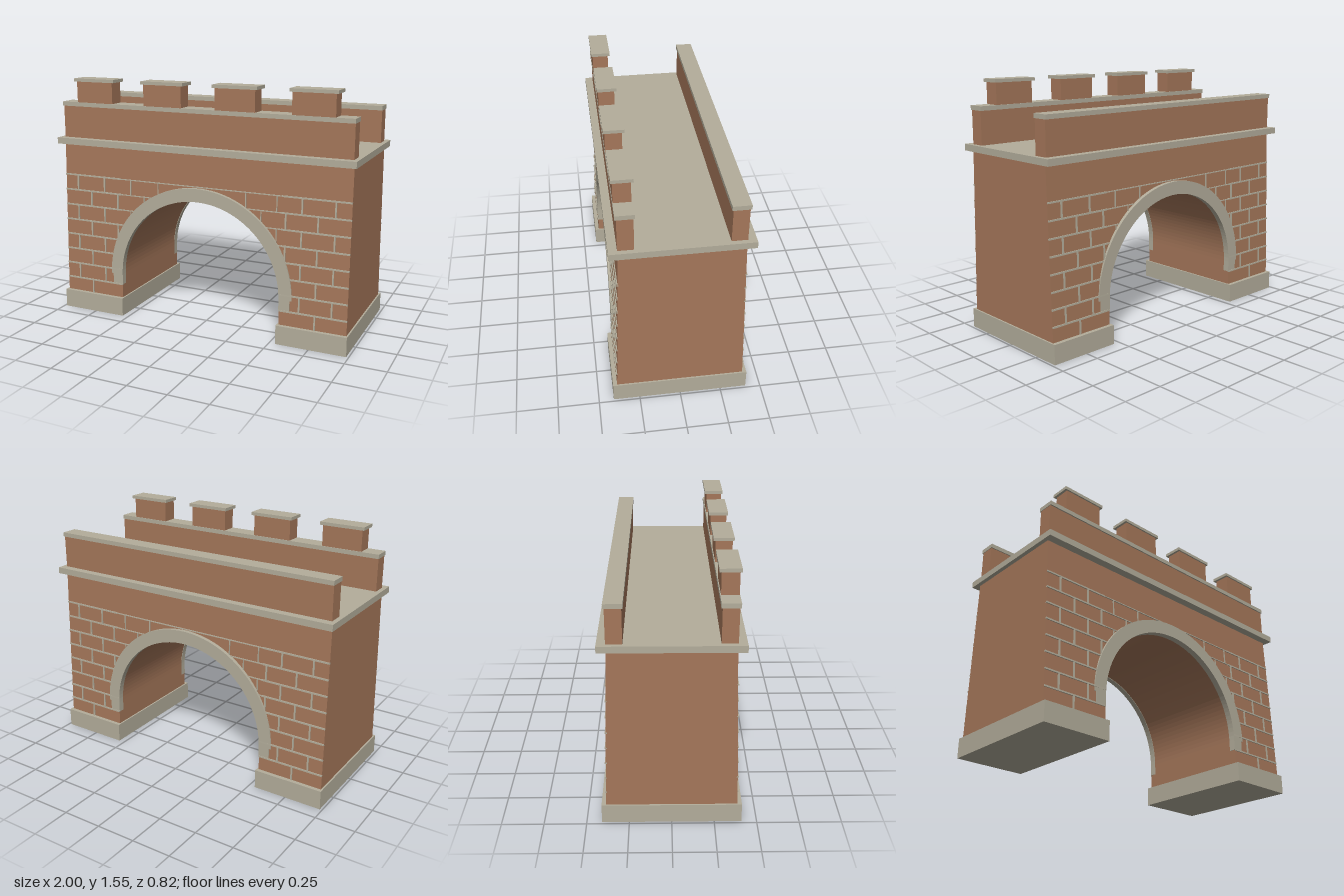
import * as THREE from 'three';

const brick = new THREE.MeshStandardMaterial({ color: 0xa5775a });
brick.name = 'brick';
const stone = new THREE.MeshStandardMaterial({ color: 0xb3ad9b });
stone.name = 'stone';

const R = 0.55, RING = 0.63, SPRING = 0.28; // arch radii and springing height
const SLOPE = 0.034;                        // inward lean of both faces
const faceZ = (y) => 0.385 - SLOPE * (y - 0.12);

function add(parent, name, geometry, material) {
  const mesh = new THREE.Mesh(geometry, material);
  mesh.name = name;
  parent.add(mesh);
  return mesh;
}

// Box given by its limits on each axis
function block(parent, name, material, x0, x1, y0, y1, z0, z1) {
  const mesh = add(parent, name, new THREE.BoxGeometry(x1 - x0, y1 - y0, z1 - z0), material);
  mesh.position.set((x0 + x1) / 2, (y0 + y1) / 2, (z0 + z1) / 2);
  return mesh;
}

// Wall with an arched opening, leaning in towards the top
function archWall() {
  const s = new THREE.Shape();
  s.moveTo(-0.975, 0.12);
  s.lineTo(-R, 0.12);
  s.lineTo(-R, SPRING);
  s.absarc(0, SPRING, R, Math.PI, 0, true);
  s.lineTo(R, 0.12);
  s.lineTo(0.975, 0.12);
  s.lineTo(0.975, 1.125);
  s.lineTo(-0.975, 1.125);
  s.closePath();
  const g = new THREE.ExtrudeGeometry(s, { depth: 1, bevelEnabled: false, curveSegments: 32 });
  const p = g.attributes.position;
  for (let i = 0; i < p.count; i++) p.setZ(i, (p.getZ(i) > 0.5 ? 1 : -1) * faceZ(p.getY(i)));
  g.computeVertexNormals();
  return g;
}

// Stone ring around the opening
function archRing() {
  const r = R - 0.003;
  const s = new THREE.Shape();
  s.moveTo(RING, SPRING);
  s.absarc(0, SPRING, RING, 0, Math.PI, false);
  s.lineTo(-r, SPRING);
  s.absarc(0, SPRING, r, Math.PI, 0, true);
  s.closePath();
  return new THREE.ExtrudeGeometry(s, { depth: 0.04, bevelEnabled: false, curveSegments: 32 });
}

// Raised mortar strip following the leaning face
function mortar(parent, x, y, w, h) {
  const m = add(parent, 'mortarJoint', new THREE.BoxGeometry(w, h, 0.012), stone);
  m.position.set(x, y, faceZ(y));
  m.rotation.x = -SLOPE;
}

// Arch ring and brick joints of one face
function createFace() {
  const face = new THREE.Group();
  add(face, 'archRing', archRing(), stone).position.z = 0.344;
  for (const s of [-1, 1]) {
    const a = s * (R - 0.003), b = s * 0.617;
    block(face, 'archRingFoot', stone, Math.min(a, b), Math.max(a, b), 0.21, SPRING, 0.344, 0.384);
  }
  for (let row = 0; row < 8; row++) {
    const top = 0.21 + row * 0.101, mid = top - 0.05;
    const odd = row % 2;
    // Piers
    for (const s of [-1, 1]) {
      mortar(face, s * 0.7625, top, 0.425, 0.01);
      for (const x of odd ? [0.88, 0.677] : [0.777, 0.577]) {
        const hidden = x < RING && Math.hypot(x, mid - SPRING) < RING;
        if (!hidden && !(x < 0.6 && mid < SPRING)) mortar(face, s * x, mid, 0.01, 0.101);
      }
    }
    // Spandrels above the ring
    if (row > 3) {
      const reach = Math.sqrt(Math.max(0, 0.6 ** 2 - (top - SPRING) ** 2));
      if (reach < R) {
        const w = R - reach;
        for (const s of [-1, 1]) mortar(face, s * (reach + w / 2), top, w, 0.006);
      }
      for (let x = odd ? -0.48 : -0.38; x < R; x += 0.2) {
        if (Math.hypot(x, mid - SPRING) > 0.6) mortar(face, x, mid, 0.006, 0.101);
      }
    }
  }
  return face;
}

export function createModel() {
  const model = new THREE.Group();
  model.name = 'archedGate';

  add(model, 'archWall', archWall(), brick);
  block(model, 'leftFooting', stone, 0.54, 0.985, 0, 0.12, -0.41, 0.41);
  block(model, 'rightFooting', stone, -0.985, -0.54, 0, 0.12, -0.41, 0.41);

  const front = createFace();
  front.name = 'frontStonework';
  const back = createFace();
  back.name = 'backStonework';
  back.rotation.y = Math.PI;
  model.add(front, back);

  // Deck and parapets
  block(model, 'deckSlab', stone, -1, 1, 1.125, 1.165, -0.403, 0.403);
  block(model, 'frontParapet', brick, -0.972, 0.972, 1.165, 1.37, 0.262, 0.353);
  block(model, 'frontParapetCap', stone, -0.975, 0.975, 1.37, 1.397, 0.255, 0.361);
  block(model, 'backParapet', brick, -0.972, 0.972, 1.165, 1.37, -0.353, -0.262);
  block(model, 'backParapetCap', stone, -0.975, 0.975, 1.37, 1.397, -0.361, -0.255);

  // Battlements
  for (const x of [-0.73, -0.243, 0.243, 0.73]) {
    block(model, 'merlon', brick, x - 0.13, x + 0.13, 1.397, 1.53, 0.26, 0.359);
    block(model, 'merlonCap', stone, x - 0.145, x + 0.145, 1.53, 1.55, 0.247, 0.368);
  }
  return model;
}
